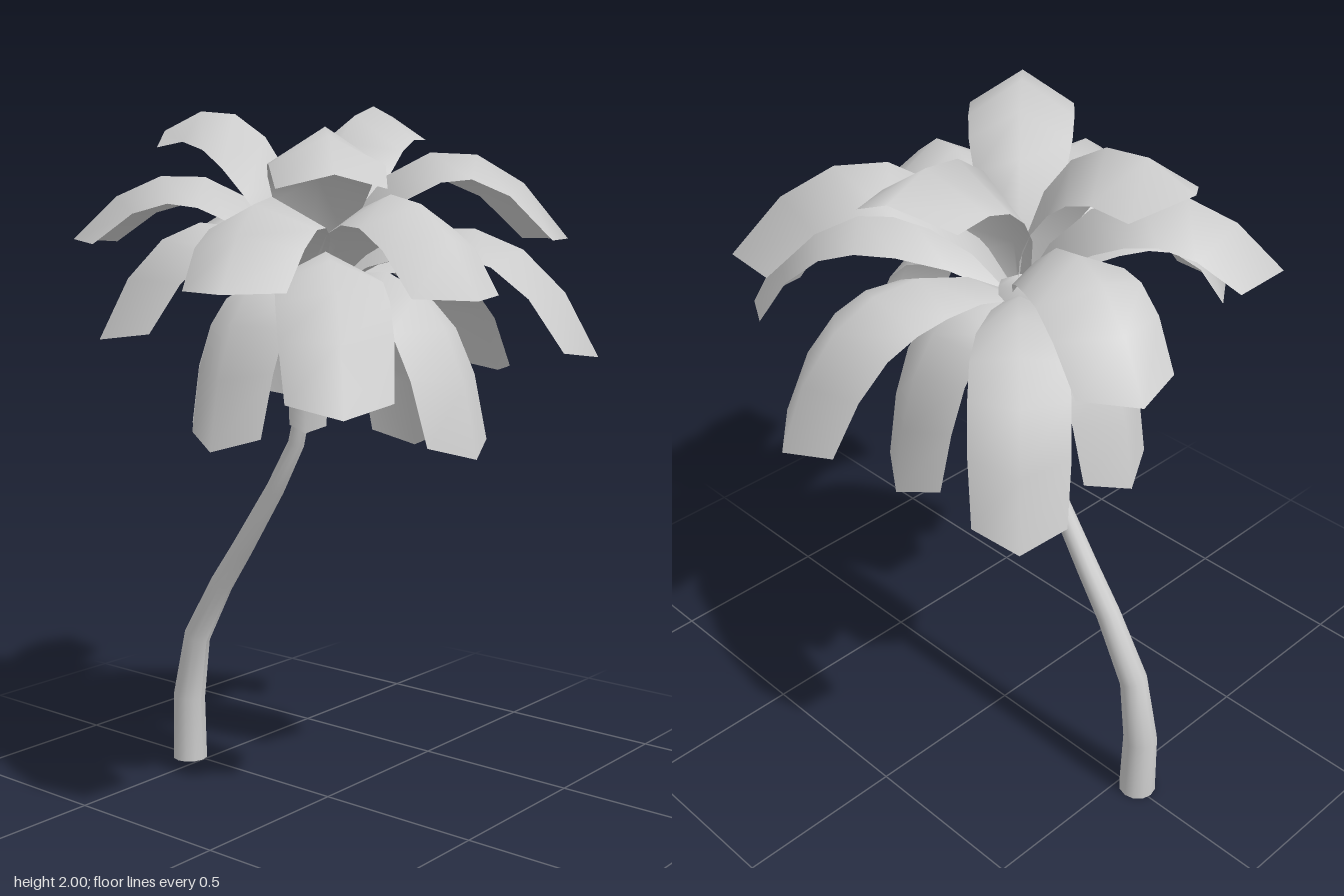
import * as THREE from 'three';

const material = new THREE.MeshStandardMaterial({ color: 0xcccccc, side: THREE.DoubleSide });
const CROWN = new THREE.Vector3(-0.01, 1.47, -0.04);

// Trunk rings: z, y, radius
const TRUNK = [
  [-0.553, 0, 0.054], [-0.553, 0.2, 0.05], [-0.515, 0.4, 0.041], [-0.41, 0.58, 0.035],
  [-0.325, 0.7, 0.032], [-0.19, 0.9, 0.027], [-0.11, 1.04, 0.024], [-0.07, 1.2, 0.022], [-0.045, 1.45, 0.02],
];

// Frond tips: x, y, z, and extra height of the arch
const TIPS = [
  // upper fronds
  [-0.04, 1.93, -0.59, 0.03], [0.57, 1.98, -0.21, 0], [-0.51, 1.79, 0.44, 0.045],
  // middle fronds
  [-0.38, 1.62, -0.62, 0.01], [0.56, 1.62, 0.43, 0.1], [0.2, 1.49, -0.67, 0.01], [-0.23, 1.49, 0.66, 0.02],
  [-0.68, 1.51, 0.23, 0], [-0.6, 1.37, -0.28, 0], [0.35, 1.31, 0.66, 0.02],
  // hanging fronds
  [0.68, 1.21, 0.12, 0], [-0.5, 1.21, 0.46, 0], [0.45, 1.1, -0.51, 0.02], [-0.065, 1.07, 0.55, 0.01],
  [-0.01, 1.05, -0.47, 0], [-0.46, 1.08, -0.02, 0], [0.4, 1.0, 0.01, 0],
];
// Small young leaves against the trunk
const SMALL_TIPS = [[0.07, 1.12, -0.14, 0], [-0.1, 1.09, 0, 0]];

// Half widths from stem to tip
const WIDTHS = [0.02, 0.08, 0.122, 0.14, 0.145, 0.145, 0.135];

// A unit cylinder bent along the trunk rings
function makeTrunk() {
  const last = TRUNK.length - 1;
  const geometry = new THREE.CylinderGeometry(1, 1, 1, 12, last);
  const p = geometry.attributes.position;
  for (let i = 0; i < p.count; i++) {
    const k = Math.round((p.getY(i) + 0.5) * last);
    const [z, y, r] = TRUNK[k];
    const a = TRUNK[Math.max(k - 1, 0)], b = TRUNK[Math.min(k + 1, last)];
    const angle = k === 0 ? 0 : Math.atan2(b[0] - a[0], b[1] - a[1]);
    const d = p.getZ(i) * r;
    p.setXYZ(i, CROWN.x + p.getX(i) * r, y - Math.sin(angle) * d, z + Math.cos(angle) * d);
  }
  geometry.computeVertexNormals();
  const mesh = new THREE.Mesh(geometry, material);
  mesh.name = 'trunk';
  return mesh;
}

// An arching leaf with a raised midrib and a blunt pointed tip;
// the higher its tip, the steeper it leaves the crown
function makeFrond([x, y, z, arch], scale, name) {
  const end = new THREE.Vector3(x, y, z);
  const out = end.clone().sub(CROWN).setY(0);
  const reach = out.length();
  out.normalize();
  const side = new THREE.Vector3(out.z, 0, -out.x);
  const lift = y - 1;
  const fold = 0.5 + 0.2 * lift * lift;
  const control = (r, h) => CROWN.clone().addScaledVector(out, reach * r).setY(h + arch);
  const curve = new THREE.CubicBezierCurve3(
    CROWN,
    control(0.55 - 0.55 * lift, 1.6 + 0.6 * lift - 0.4 * lift * lift),
    control(0.92 - 0.35 * lift - 0.15 * lift * lift, 1.42 + 0.98 * lift - 0.3 * lift * lift),
    end,
  );

  const n = WIDTHS.length - 1;
  const positions = [], index = [];
  WIDTHS.forEach((width, i) => {
    const w = width * scale;
    const mid = curve.getPoint(i / n);
    const tangent = curve.getTangent(i / n);
    const up = new THREE.Vector3().crossVectors(tangent, side);
    for (const s of [-1, 0, 1]) {
      const v = mid.clone().addScaledVector(side, s * w);
      if (s) v.addScaledVector(up, -fold * w).addScaledVector(tangent, -0.05 * scale * i / n);
      positions.push(v.x, v.y, v.z);
    }
    if (i === n) return;
    for (let j = 0; j < 2; j++) {
      const a = i * 3 + j;
      index.push(a, a + 3, a + 1, a + 1, a + 3, a + 4);
    }
  });
  const geometry = new THREE.BufferGeometry();
  geometry.setAttribute('position', new THREE.Float32BufferAttribute(positions, 3));
  geometry.setIndex(index);
  geometry.computeVertexNormals();
  const mesh = new THREE.Mesh(geometry, material);
  mesh.name = name;
  return mesh;
}

export function createModel() {
  const palm = new THREE.Group();
  palm.name = 'palmTree';
  const crown = new THREE.Group();
  crown.name = 'crown';
  TIPS.forEach((tip) => crown.add(makeFrond(tip, tip[1] < 1.15 ? 0.88 : 1, 'frond')));
  SMALL_TIPS.forEach((tip) => crown.add(makeFrond(tip, 0.4, 'smallFrond')));
  palm.add(makeTrunk(), crown);
  return palm;
}
